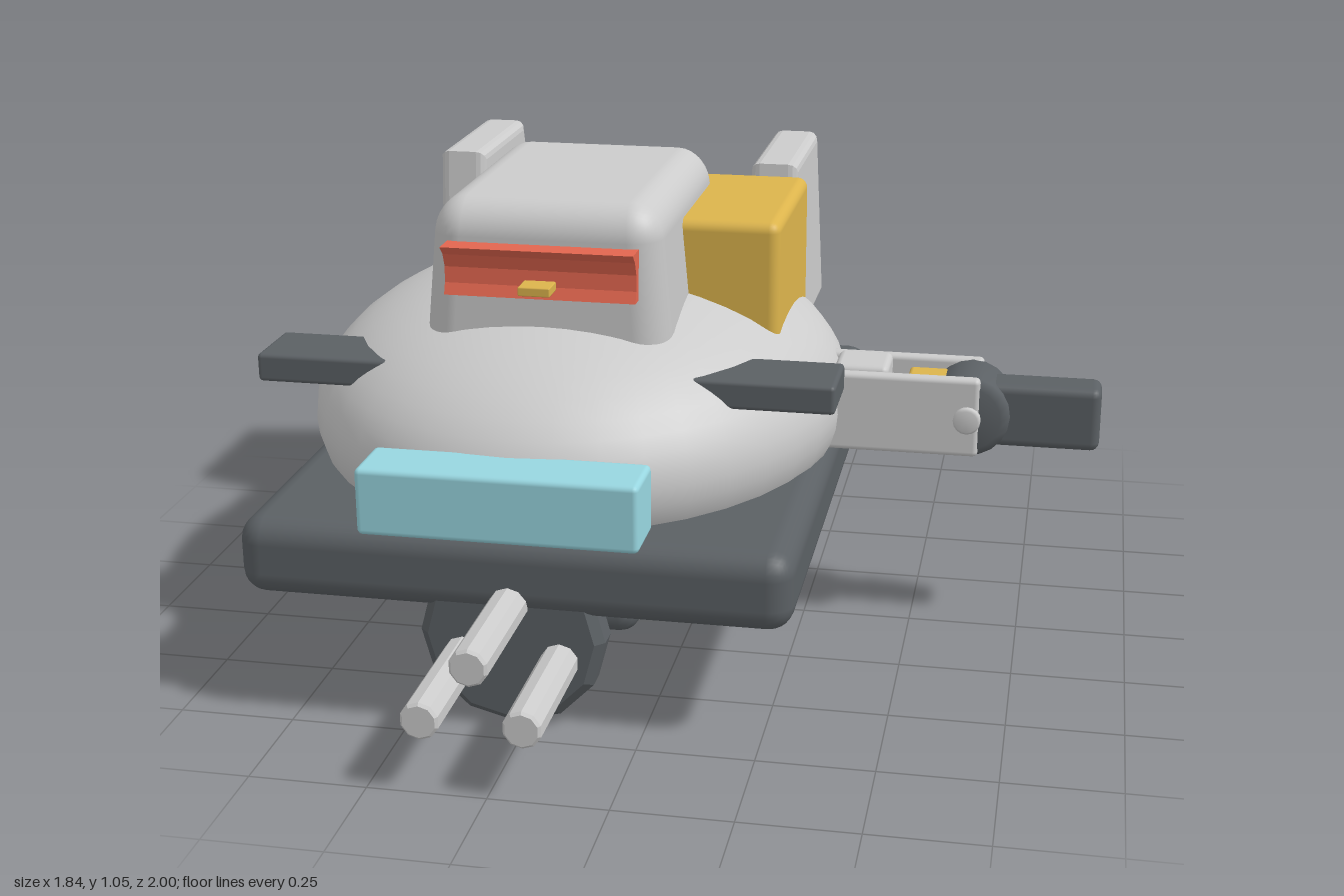
import * as THREE from 'three';
import { RoundedBoxGeometry } from 'three/addons/geometries/RoundedBoxGeometry.js';

const material = (color, flatShading = false) => {
  const m = new THREE.MeshStandardMaterial({ flatShading });
  m.color.set(color);
  return m;
};
const grey = material(0xcccccc), greyFlat = material(0xcccccc, true);
const dark = material(0x5b6064), darkFlat = material(0x5b6064, true);
const yellow = material(0xdcb44c), red = material(0xe2664f), cyan = material(0x98d6e0);
const MID = -0.285; // x of the hull's centre line

function add(parent, name, geometry, mat, x = 0, y = 0, z = 0) {
  const mesh = new THREE.Mesh(geometry, mat);
  mesh.name = name;
  mesh.position.set(x, y, z);
  parent.add(mesh);
  return mesh;
}

// Rounded box given by its low and high corners
function box(parent, name, lo, hi, mat, r = 0.01, seg = 2) {
  const s = hi.map((v, i) => v - lo[i]), c = hi.map((v, i) => (v + lo[i]) / 2);
  return add(parent, name, new RoundedBoxGeometry(s[0], s[1], s[2], seg, r), mat, ...c);
}

// Outline in (z, y) swept along x, centred on x = 0
function sideProfile(points, width, bevel) {
  const shape = new THREE.Shape(points.map(([z, y]) => new THREE.Vector2(z, y)));
  const depth = width - 2 * bevel;
  const g = new THREE.ExtrudeGeometry(shape, {
    depth, bevelEnabled: bevel > 0, bevelSize: bevel, bevelThickness: bevel,
    bevelOffset: -bevel, bevelSegments: 3, curveSegments: 6,
  });
  return g.translate(0, 0, -depth / 2).rotateY(-Math.PI / 2);
}

// Disc or rod along z with chamfered rims
function chamferedRod(r, length, chamfer, sides, turn = 0) {
  const h = length / 2;
  const profile = [[0, -h], [r - chamfer, -h], [r, -h + chamfer], [r, h - chamfer], [r - chamfer, h], [0, h]];
  return new THREE.LatheGeometry(profile.map(([a, b]) => new THREE.Vector2(a, b)), sides, turn)
    .rotateX(Math.PI / 2);
}

function buildCabin(parent) {
  const g = new RoundedBoxGeometry(0.57, 0.42, 0.71, 4, 0.08);
  const p = g.attributes.position;
  // Narrow the cabin toward its roof
  for (let i = 0; i < p.count; i++) {
    const t = p.getY(i) / 0.42 + 0.5;
    p.setX(i, p.getX(i) * (1 - 0.13 * t));
    p.setZ(i, p.getZ(i) * (1 - 0.07 * t) + 0.01);
  }
  g.computeBoundingSphere();
  add(parent, 'cabin', g, grey, MID + 0.005, 0.85, 0.005);

  // Visor with a hollowed front
  const visor = [[0.33, 0.86], [0.385, 0.86], [0.375, 0.885], [0.373, 0.92], [0.385, 0.95], [0.405, 0.97], [0.33, 0.97]];
  add(parent, 'visor', sideProfile(visor, 0.42, 0), red, -0.28);
  box(parent, 'sensorBar', [-0.315, 0.878, -0.64], [-0.245, 0.898, 0.43], yellow, 0.003, 1);
}

function buildGun(parent) {
  const gun = new THREE.Group();
  gun.name = 'gun';
  parent.add(gun);
  box(gun, 'gunHousing', [-0.475, 0.05, -0.395], [-0.09, 0.36, 0.315], dark, 0.045, 2);
  add(gun, 'barrelDisc', chamferedRod(0.2, 0.09, 0.02, 12), darkFlat, -0.28, 0.205, 0.643);
  for (const [x, y] of [[-0.28, 0.287], [-0.385, 0.162], [-0.175, 0.162]]) {
    add(gun, 'barrel', chamferedRod(0.041, 0.8, 0.006, 10), greyFlat, x, y, 0.6);
  }
}

function buildArm(parent) {
  const arm = new THREE.Group();
  arm.name = 'arm';
  parent.add(arm);
  for (const z of [-0.129, 0.026]) {
    box(arm, 'armPlate', [0.25, 0.435, z - 0.017], [0.645, 0.62, z + 0.017], grey, 0.012);
  }
  box(arm, 'armRoot', [0.25, 0.46, -0.115], [0.43, 0.6, 0.015], dark);
  box(arm, 'armCap', [0.31, 0.57, -0.115], [0.435, 0.628, 0.012], grey, 0.015);
  box(arm, 'armCore', [0.4, 0.49, -0.1], [0.63, 0.575, 0], dark);
  box(arm, 'armCell', [0.475, 0.48, -0.11], [0.58, 0.597, 0.01], yellow);
  const rod = new THREE.CylinderGeometry(0.02, 0.02, 0.18, 12).rotateZ(Math.PI / 2);
  add(arm, 'armRod', rod, grey, 0.34, 0.425, -0.05);
  // Elbow joint and its pin
  add(arm, 'elbow', chamferedRod(0.093, 0.175, 0.02, 20), dark, 0.62, 0.525, -0.051);
  add(arm, 'elbowPin', chamferedRod(0.031, 0.22, 0.006, 16), grey, 0.618, 0.525, -0.051);
  box(arm, 'forearm', [0.63, 0.45, -0.1], [0.915, 0.598, 0.002], dark, 0.02);
}

export function createModel() {
  const model = new THREE.Group();
  model.name = 'hoverVehicle';

  // Hull and skirt
  add(model, 'hull', new THREE.SphereGeometry(1, 40, 28).scale(0.617, 0.33, 0.735), grey, MID, 0.52, -0.055);
  box(model, 'skirt', [-0.875, 0.26, -0.79], [0.315, 0.435, 0.7], dark, 0.055, 3);
  box(model, 'frontPanel', [-0.575, 0.455, 0.635], [0.015, 0.6, 0.775], cyan, 0.012);
  box(model, 'sideCrate', [-0.1, 0.65, -0.375], [0.195, 0.975, 0.1], yellow, 0.025, 3);
  buildCabin(model);

  // Parts mirrored on both flanks
  const fin = [[-0.33, 0.53], [-0.925, 0.53], [-0.765, 1.0], [-0.375, 1.0]].reverse();
  for (const side of [-1, 1]) {
    add(model, 'rearFin', sideProfile(fin, 0.113, 0.022), grey, -0.279 + side * 0.389);
    add(model, 'exhaust', chamferedRod(0.086, 0.23, 0.022, 8, Math.PI / 8), darkFlat, -0.279 + side * 0.24, 0.523, -0.885);
    const inner = -0.28 + side * 0.3, outer = -0.28 + side * 0.64;
    box(model, 'sideWing', [Math.min(inner, outer), 0.642, 0.228], [Math.max(inner, outer), 0.706, 0.4], dark, 0.01);
  }

  buildGun(model);
  buildArm(model);
  return model;
}
